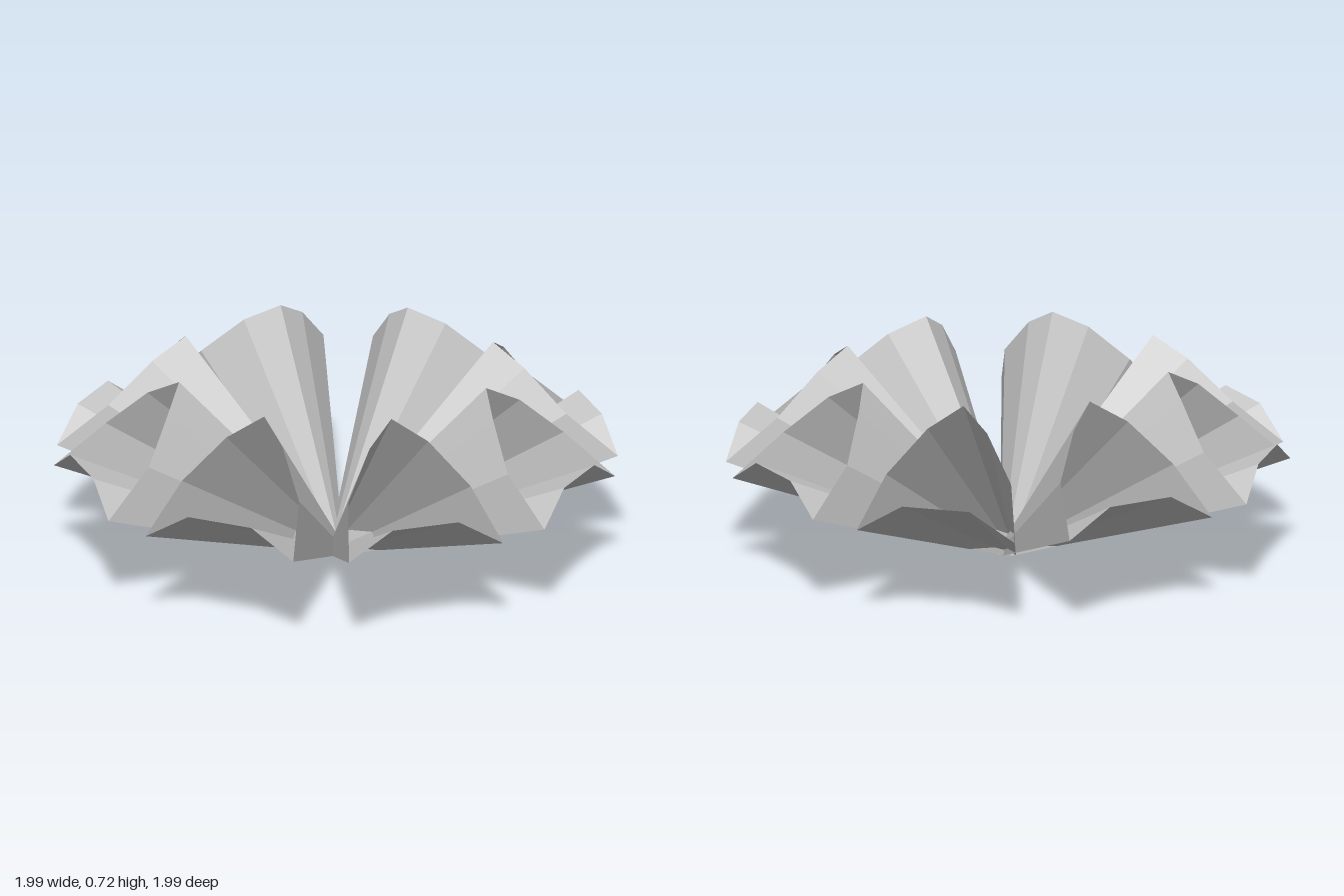
import * as THREE from 'three';

// Rim of one petal as [tangent, height, radial distance]; right half from the peak down
const half = [[0, 0.72, 0.59], [0.11, 0.65, 0.67], [0.23, 0.505, 0.785], [0.29, 0.345, 0.958], [0.124, 0.445, 0.956]];
const rim = [...half, ...half.slice(1).reverse().map(([t, y, r]) => [-t, y, r])];

// Small root ring around the petal's axis, at the centre of the flower
const root = rim.map(([t, y, r]) => [t * 0.12, 0.02 + (y - 0.51) * 0.12, (r - 0.79) * 0.12]);

// Open folded cone lofted from the root ring to the rim
function petalGeometry() {
  const n = rim.length;
  const index = [];
  for (let i = 0; i < n; i++) {
    const j = (i + 1) % n;
    index.push(i, n + j, n + i, i, j, n + j);
  }
  const geometry = new THREE.BufferGeometry();
  geometry.setAttribute('position', new THREE.Float32BufferAttribute([...root, ...rim].flat(), 3));
  geometry.setIndex(index);
  const flat = geometry.toNonIndexed();
  flat.computeVertexNormals();
  return flat;
}

export function createModel() {
  const flower = new THREE.Group();
  flower.name = 'flower';
  const material = new THREE.MeshStandardMaterial({ color: 0xcccccc, flatShading: true, side: THREE.DoubleSide });
  const geometry = petalGeometry();

  // Eight equal petals around the centre
  for (let i = 0; i < 8; i++) {
    const petal = new THREE.Mesh(geometry, material);
    petal.name = `petal${i + 1}`;
    petal.rotation.y = (i + 0.5) * Math.PI / 4;
    flower.add(petal);
  }
  return flower;
}
